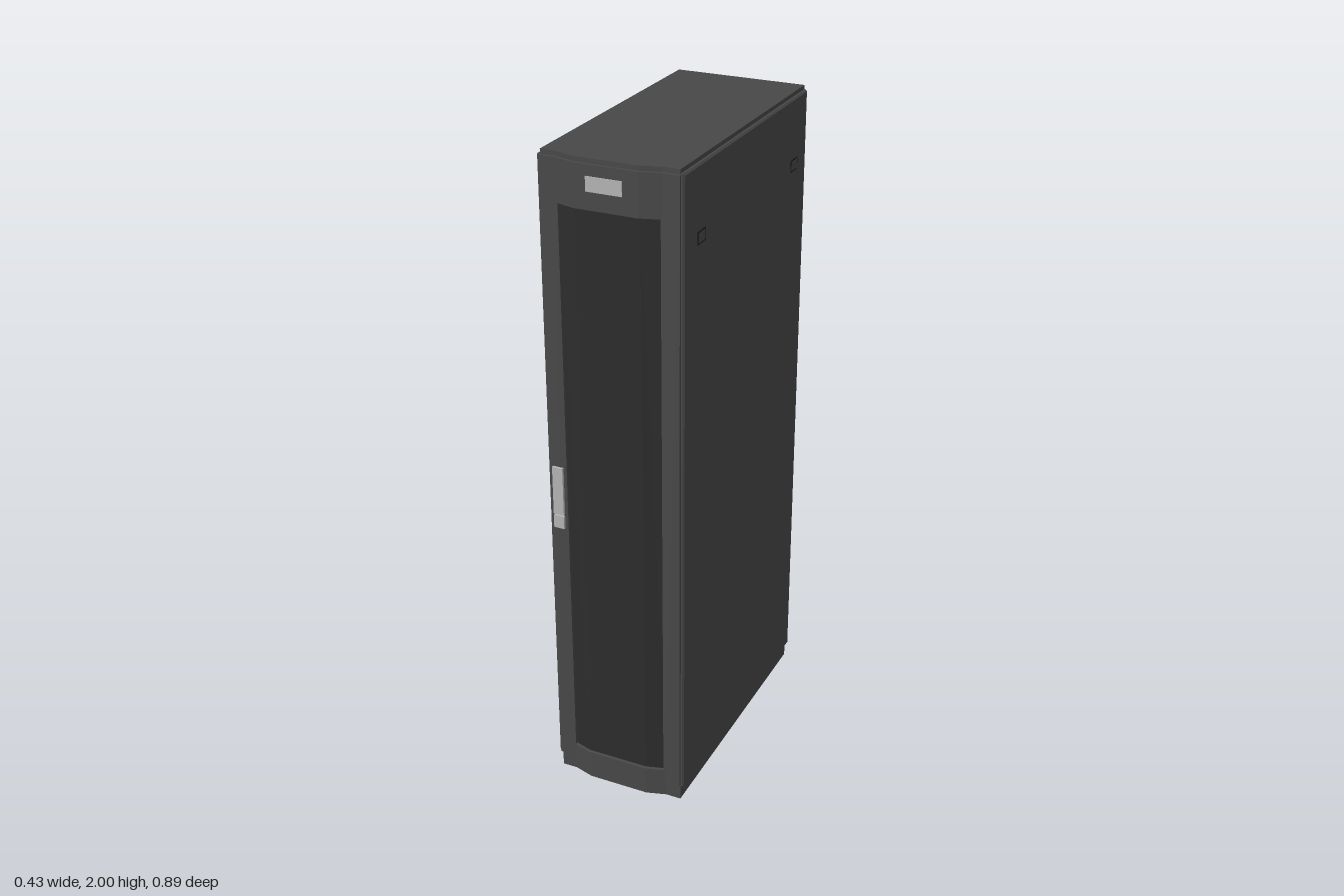
import * as THREE from 'three';

const mat = (color) => new THREE.MeshStandardMaterial({ color });

export function createModel() {
  const root = new THREE.Group();
  const body = mat(0x484848), mesh = mat(0x2c2c2c), dark = mat(0x1c1c1c), silver = mat(0xb4b4b4);

  function add(name, geometry, material, parent = root) {
    const m = new THREE.Mesh(geometry, material);
    m.name = name;
    parent.add(m);
    return m;
  }

  // Box given by its minimum and maximum corners
  function box(name, material, [x0, y0, z0], [x1, y1, z1], parent) {
    const g = new THREE.BoxGeometry(x1 - x0, y1 - y0, z1 - z0);
    g.translate((x0 + x1) / 2, (y0 + y1) / 2, (z0 + z1) / 2);
    return add(name, g, material, parent);
  }

  // Vertical slab whose front edge bows forward in the middle
  function slab(name, material, w, zBack, zFront, y0, y1, parent) {
    const zMid = zFront + 0.018;
    const outline = [
      [-w, zFront], [-0.155, zFront], [-0.095, zMid], [0.095, zMid],
      [0.155, zFront], [w, zFront], [w, zBack], [-w, zBack],
    ];
    const shape = new THREE.Shape(outline.map(([x, z]) => new THREE.Vector2(x, -z)));
    const g = new THREE.ExtrudeGeometry(shape, { depth: y1 - y0, bevelEnabled: false });
    g.rotateX(-Math.PI / 2);
    g.translate(0, y0, 0);
    return add(name, g, material, parent);
  }

  // Cabinet core, base and roof
  slab('plinth', body, 0.202, -0.436, 0.416, 0, 0.05);
  slab('cabinetCore', dark, 0.202, -0.434, 0.405, 0.05, 1.985);
  slab('roof', body, 0.202, -0.44, 0.417, 1.985, 2);

  // Side panels with chamfered vertical and top edges, and their latches
  for (const side of [1, -1]) {
    const name = side > 0 ? 'left' : 'right';
    const c = 0.005;
    const section = new THREE.Shape([[-0.433, 0.055], [0.413, 0.055], [0.413, 1.983], [-0.433, 1.983]]
      .map(([z, y]) => new THREE.Vector2(-z, y)));
    const g = new THREE.ExtrudeGeometry(section, {
      depth: 0.007, bevelThickness: c, bevelSize: c, bevelOffset: 0, bevelSegments: 1,
    });
    g.rotateY(Math.PI / 2);
    g.translate(side > 0 ? 0.201 : -0.208, 0, 0);
    add(name + 'SidePanel', g, body);
    for (const z of [-0.34, 0.315]) {
      const latch = new THREE.Group();
      latch.name = name + 'PanelLatch';
      latch.position.set(side * 0.213, 1.79, z);
      root.add(latch);
      add('latchFrame', new THREE.BoxGeometry(0.007, 0.036, 0.048), dark, latch);
      add('latchFace', new THREE.BoxGeometry(0.0085, 0.028, 0.04), body, latch);
    }
  }

  // Bowed front door: rails, stiles and recessed mesh panel
  const front = new THREE.Group();
  front.name = 'frontDoor';
  root.add(front);
  slab('topRail', body, 0.204, 0.4, 0.426, 1.862, 1.986, front);
  slab('bottomRail', body, 0.204, 0.4, 0.426, 0.055, 0.1, front);
  slab('frontMesh', mesh, 0.158, 0.4, 0.416, 0.1, 1.862, front);
  for (const s of [1, -1]) {
    const x = s * 0.177;
    box('stile', body, [x - 0.027, 0.1, 0.4], [x + 0.027, 1.862, 0.426], front);
  }
  box('nameplate', silver, [-0.056, 1.913, 0.43], [0.05, 1.955, 0.446], front);
  box('frontHandle', silver, [-0.193, 0.918, 0.42], [-0.16, 1.07, 0.434], front);
  box('frontLock', silver, [-0.193, 0.873, 0.42], [-0.16, 0.913, 0.434], front);

  // Pair of rear doors with window openings and recessed mesh
  for (const s of [1, -1]) {
    const door = new THREE.Group();
    door.name = s > 0 ? 'rearLeftDoor' : 'rearRightDoor';
    root.add(door);
    const rect = (Type, x0, y0, x1, y1) => new Type([[x0, y0], [x1, y0], [x1, y1], [x0, y1]]
      .map(([x, y]) => new THREE.Vector2(s * x, y)));
    const frame = rect(THREE.Shape, 0.002, 0.055, 0.204, 1.985);
    frame.holes.push(rect(THREE.Path, 0.018, 0.1, 0.152, 1.885));
    const g = new THREE.ExtrudeGeometry(frame, { depth: 0.014, bevelEnabled: false });
    g.translate(0, 0, -0.444);
    add('rearDoorFrame', g, body, door);
    const panel = add('rearMesh', new THREE.BoxGeometry(0.14, 1.79, 0.008), mesh, door);
    panel.position.set(s * 0.085, 0.9925, -0.434);
  }

  // Rear handle plate with a round lock
  box('rearHandlePlate', body, [0.016, 0.9, -0.4455], [0.04, 1.035, -0.435]);
  const lock = new THREE.CylinderGeometry(0.009, 0.009, 0.008, 20);
  lock.rotateX(Math.PI / 2);
  lock.translate(0.028, 0.967, -0.444);
  add('rearLock', lock, silver);

  return root;
}
